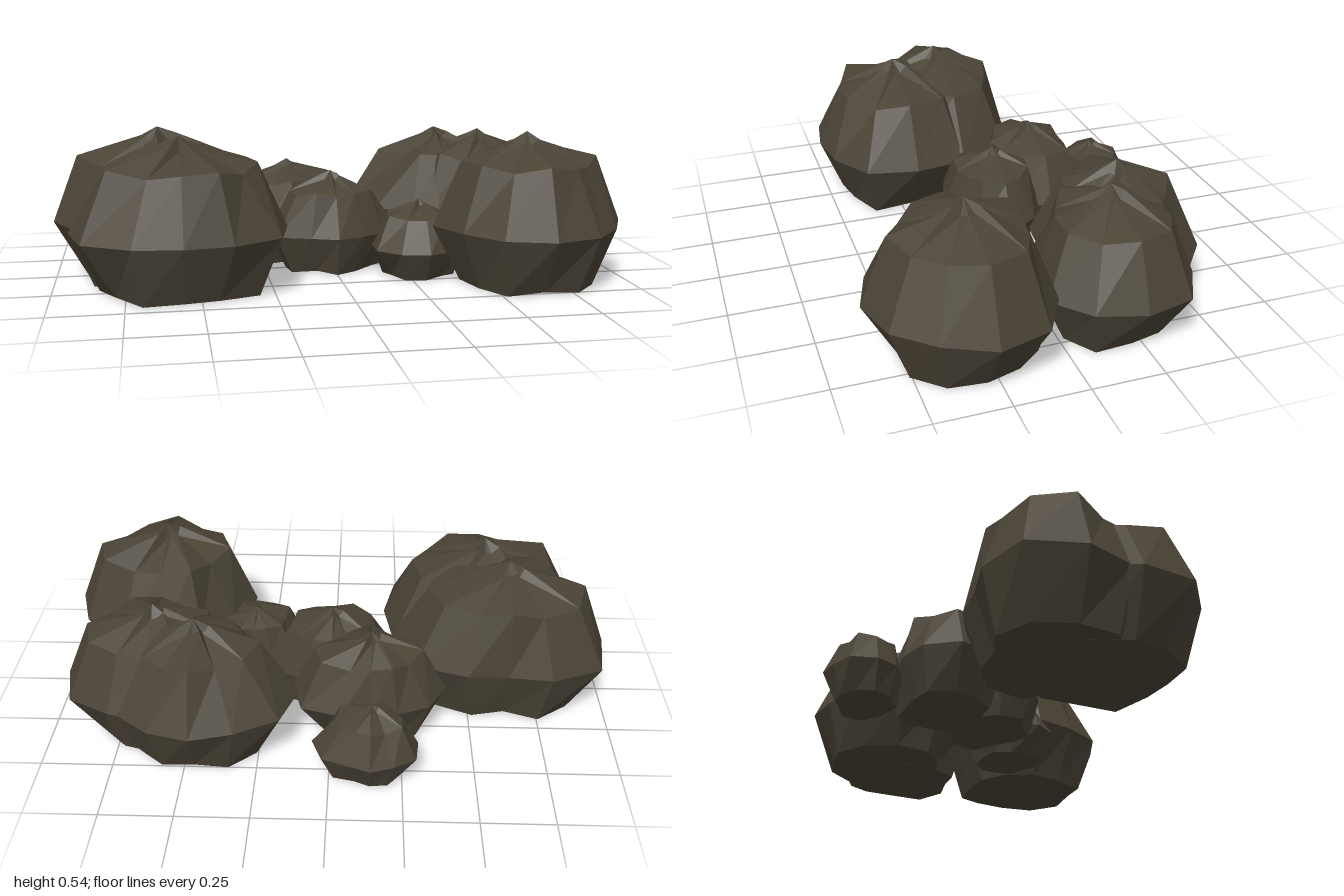
import * as THREE from 'three';

// Rings of every boulder, bottom to peak: [radius factor, height factor, roughness]
const RINGS = [[0, 0, 0], [0.74, 0, 0.08], [1, 0.385, 0], [0.7, 0.8, 0.07], [0.14, 0.93, 0.2], [0, 1, 0]];

// One faceted boulder: radii run around the peak from +x towards +z, crown narrows the upper ring
function boulder(name, x, z, height, crown, radii, material) {
  const n = radii.length;
  const mean = radii.reduce((sum, r) => sum + r, 0) / n;
  const point = (r, i) => {
    const k = i % n, a = (k / n) * Math.PI * 2;
    const [scale, level, rough] = RINGS[r];
    const noise = Math.sin(k * 2.3 + r * 1.7 + x * 9 + z * 11);
    // Upper and lower rings are rounder than the widest one
    const radius = r === 2 ? radii[k] : radii[k] * 0.75 + mean * 0.25;
    const d = radius * scale * (1 + noise * rough) * (r === 3 ? crown : 1);
    // Rough upper rings also rise and fall; the base dips in where it is narrow
    const lift = r === 1 ? Math.max(0, -noise) * 0.02 : r > 2 ? noise * Math.min(rough, 0.07) * 0.4 : 0;
    return [Math.cos(a) * d, height * (level + lift), Math.sin(a) * d];
  };
  const positions = [];
  for (let r = 0; r < RINGS.length - 1; r++) {
    for (let i = 0; i < n; i++) {
      const a = point(r, i), b = point(r, i + 1);
      const c = point(r + 1, i), d = point(r + 1, i + 1);
      if (RINGS[r][0] > 0) positions.push(...a, ...c, ...b);
      if (RINGS[r + 1][0] > 0) positions.push(...b, ...c, ...d);
    }
  }
  const geometry = new THREE.BufferGeometry();
  geometry.setAttribute('position', new THREE.Float32BufferAttribute(positions, 3));
  geometry.computeVertexNormals();
  const mesh = new THREE.Mesh(geometry, material);
  mesh.name = name;
  mesh.position.set(x, 0, z);
  return mesh;
}

export function createModel() {
  const group = new THREE.Group();
  group.name = 'rockCluster';
  const stone = new THREE.MeshStandardMaterial({ color: 0x4a4336, flatShading: true });
  stone.name = 'dark stone';
  const add = (name, x, z, h, crown, radii) => group.add(boulder(name, x, z, h, crown, radii, stone));

  // Large boulders on the model's right
  add('rightFrontBoulder', -0.56, 0.21, 0.53, 1,
    [0.37, 0.38, 0.33, 0.31, 0.33, 0.38, 0.38, 0.36, 0.33, 0.3, 0.32, 0.39]);
  add('rightBackBoulder', -0.63, 0.02, 0.54, 1.05,
    [0.42, 0.36, 0.33, 0.3, 0.32, 0.33, 0.37, 0.39, 0.31, 0.25, 0.29, 0.38]);
  // Large boulders on the model's left
  add('leftFrontBoulder', 0.645, 0.29, 0.53, 1,
    [0.355, 0.32, 0.33, 0.335, 0.33, 0.31, 0.335, 0.3, 0.3, 0.27, 0.3, 0.35]);
  add('leftBackBoulder', 0.62, -0.21, 0.48, 1,
    [0.325, 0.32, 0.31, 0.255, 0.265, 0.27, 0.28, 0.28, 0.28, 0.28, 0.28, 0.33]);
  add('leftRearBoulder', 0.465, -0.3, 0.48, 0.88,
    [0.34, 0.3, 0.27, 0.26, 0.29, 0.31, 0.355, 0.34, 0.29, 0.29, 0.29, 0.31]);
  // Middle rocks
  add('centreRock', 0, -0.02, 0.36, 1,
    [0.25, 0.21, 0.19, 0.2, 0.19, 0.25, 0.23, 0.2, 0.18, 0.17, 0.18, 0.21]);
  add('centreBackRock', -0.14, -0.21, 0.38, 1,
    [0.28, 0.22, 0.2, 0.2, 0.2, 0.23, 0.27, 0.24, 0.19, 0.165, 0.21, 0.28]);
  // Small stones
  add('rearStone', -0.14, -0.47, 0.26, 0.95,
    [0.2, 0.17, 0.11, 0.11, 0.11, 0.14, 0.165, 0.18, 0.155, 0.16, 0.15, 0.19]);
  add('frontStone', 0.3, 0.125, 0.27, 1,
    [0.17, 0.17, 0.18, 0.195, 0.2, 0.2, 0.17, 0.17, 0.12, 0.1, 0.14, 0.15]);
  return group;
}
